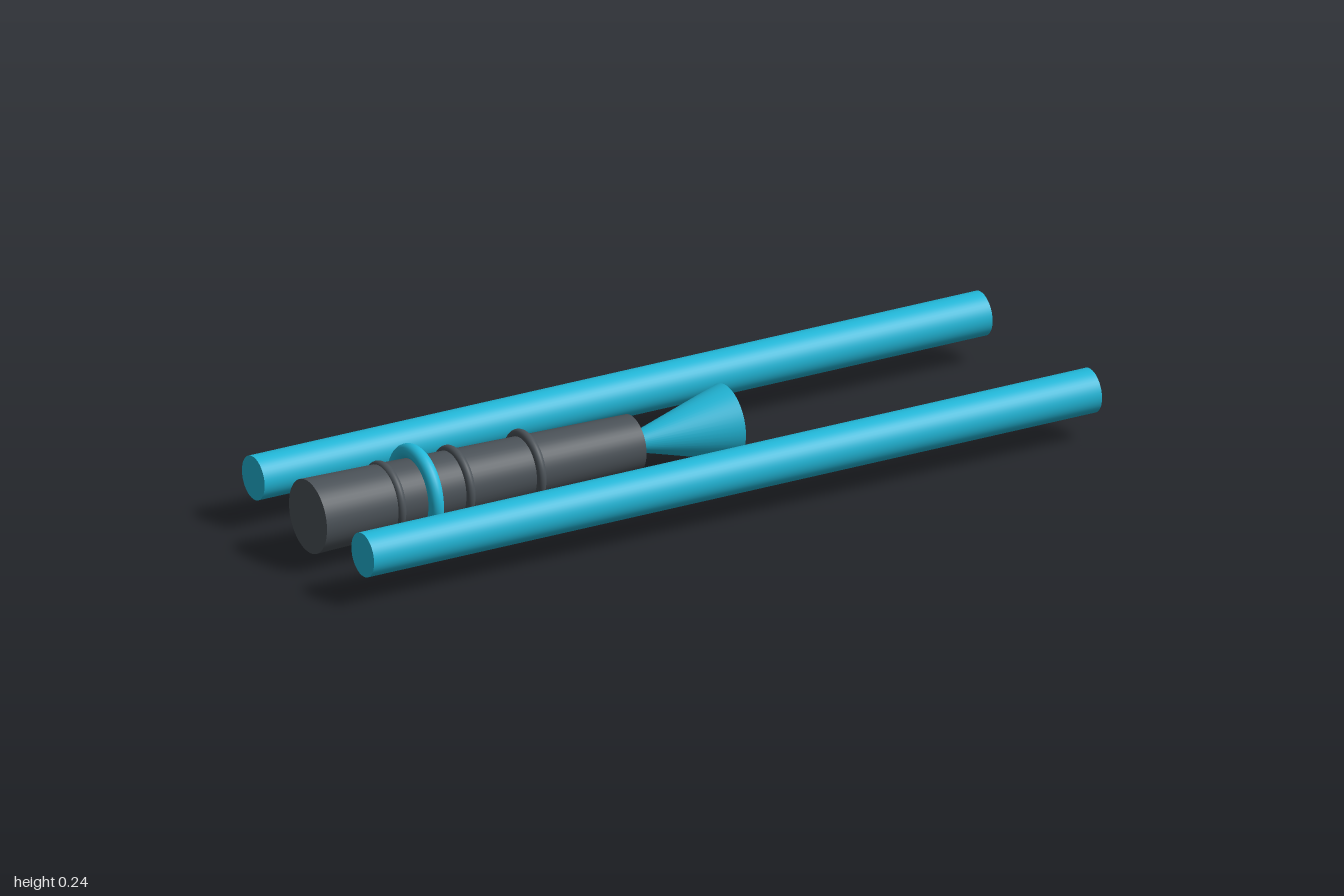
import * as THREE from 'three';

export function createModel() {
  const model = new THREE.Group();
  const cyan = new THREE.MeshStandardMaterial({ color: 0x22b8d9 });
  const dark = new THREE.MeshStandardMaterial({ color: 0x4b5258 });
  const axisY = 0.12;

  const add = (name, geometry, material, x, z = 0) => {
    const mesh = new THREE.Mesh(geometry, material);
    mesh.name = name;
    mesh.position.set(x, axisY, z);
    model.add(mesh);
  };

  // Round bar along x, with a radius at each end
  const bar = (name, x0, x1, r0, r1, material, z = 0) => {
    const geometry = new THREE.CylinderGeometry(r1, r0, x1 - x0, 48);
    geometry.rotateZ(-Math.PI / 2);
    add(name, geometry, material, (x0 + x1) / 2, z);
  };

  // Ring around the x axis
  const ring = (name, x, radius, tube, material) => {
    const geometry = new THREE.TorusGeometry(radius, tube, 20, 64);
    geometry.rotateY(Math.PI / 2);
    add(name, geometry, material, x);
  };

  // Tapered barrel and its flared tip
  bar('barrel', -1, -0.11, 0.092, 0.071, dark);
  bar('flaredNozzle', -0.13, 0.15, 0.016, 0.094, cyan);

  // Dark bands and the larger bright ring
  for (const x of [-0.79, -0.6, -0.405]) ring('barrelBand', x, 0.083, 0.0115, dark);
  ring('brightRing', -0.705, 0.101, 0.0187, cyan);

  // Parallel side rods
  for (const side of [-1, 1]) {
    bar(side > 0 ? 'frontRod' : 'backRod', -1, 1, 0.055, 0.055, cyan, side * 0.265);
  }
  return model;
}
